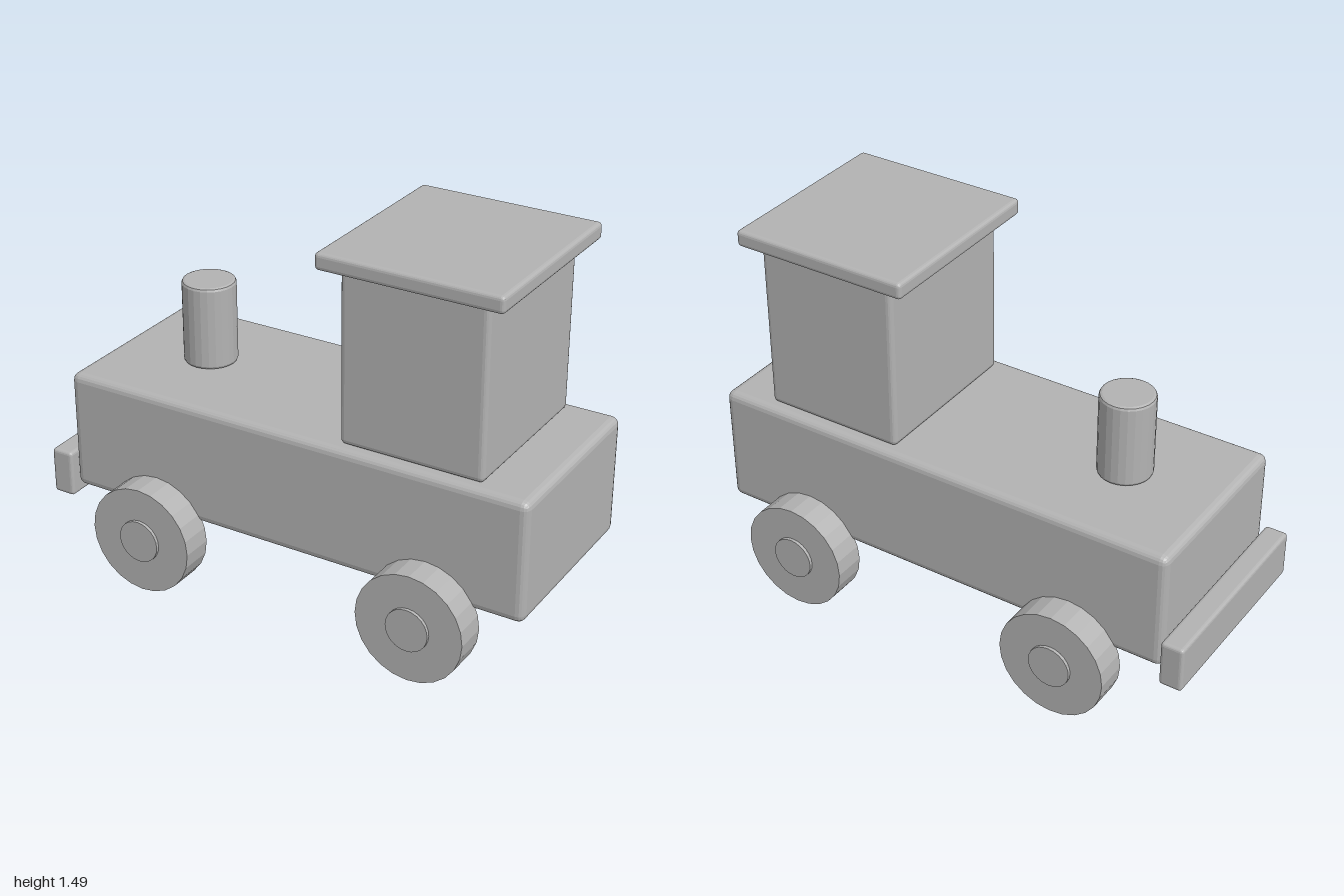
import * as THREE from 'three';
import { RoundedBoxGeometry } from 'three/addons/geometries/RoundedBoxGeometry.js';

export function createModel() {
  const model = new THREE.Group();
  model.name = 'toyTrain';
  const grey = new THREE.MeshStandardMaterial({ color: 0xb3b3b3, flatShading: true });
  grey.name = 'plain grey';

  const add = (name, geometry, x, y, z) => {
    const mesh = new THREE.Mesh(geometry, grey);
    mesh.name = name;
    mesh.position.set(x, y, z);
    model.add(mesh);
    return mesh;
  };

  // Block with softened edges, given by its extents in x and y and its half depth
  const block = (name, x0, x1, y0, y1, halfZ, bevel) => add(
    name, new RoundedBoxGeometry(x1 - x0, y1 - y0, halfZ * 2, 2, bevel),
    (x0 + x1) / 2, (y0 + y1) / 2, 0);

  // Cylinder lying along z
  const disc = (name, radius, length, sides, x, z) => add(
    name, new THREE.CylinderGeometry(radius, radius, length, sides).rotateX(Math.PI / 2),
    x, 0.215, z);

  block('body', -0.905, 0.995, 0.29, 0.765, 0.377, 0.03);
  block('cab', 0.24, 0.803, 0.765, 1.425, 0.332, 0.02);
  block('roof', 0.165, 0.875, 1.423, 1.487, 0.377, 0.015);
  block('bumper', -1, -0.91, 0.245, 0.43, 0.4, 0.013);

  // Chimney with softened rims
  const r = 0.103, h = 0.33, b = 0.012;
  const profile = [[0, 0], [r - b, 0], [r - b * 0.3, b * 0.3], [r, b],
    [r, h - b], [r - b * 0.3, h - b * 0.3], [r - b, h], [0, h]];
  add('chimney', new THREE.LatheGeometry(profile.map(([x, y]) => new THREE.Vector2(x, y)), 24),
    -0.525, 0.766, 0);

  // Axles, each with a wheel and hub at both ends
  for (const x of [-0.527, 0.615]) {
    disc('axle', 0.027, 0.8, 12, x, 0);
    for (const side of [-1, 1]) {
      disc('wheel', 0.213, 0.127, 24, x, side * 0.43);
      disc('hub', 0.084, 0.152, 24, x, side * 0.43);
    }
  }
  return model;
}
